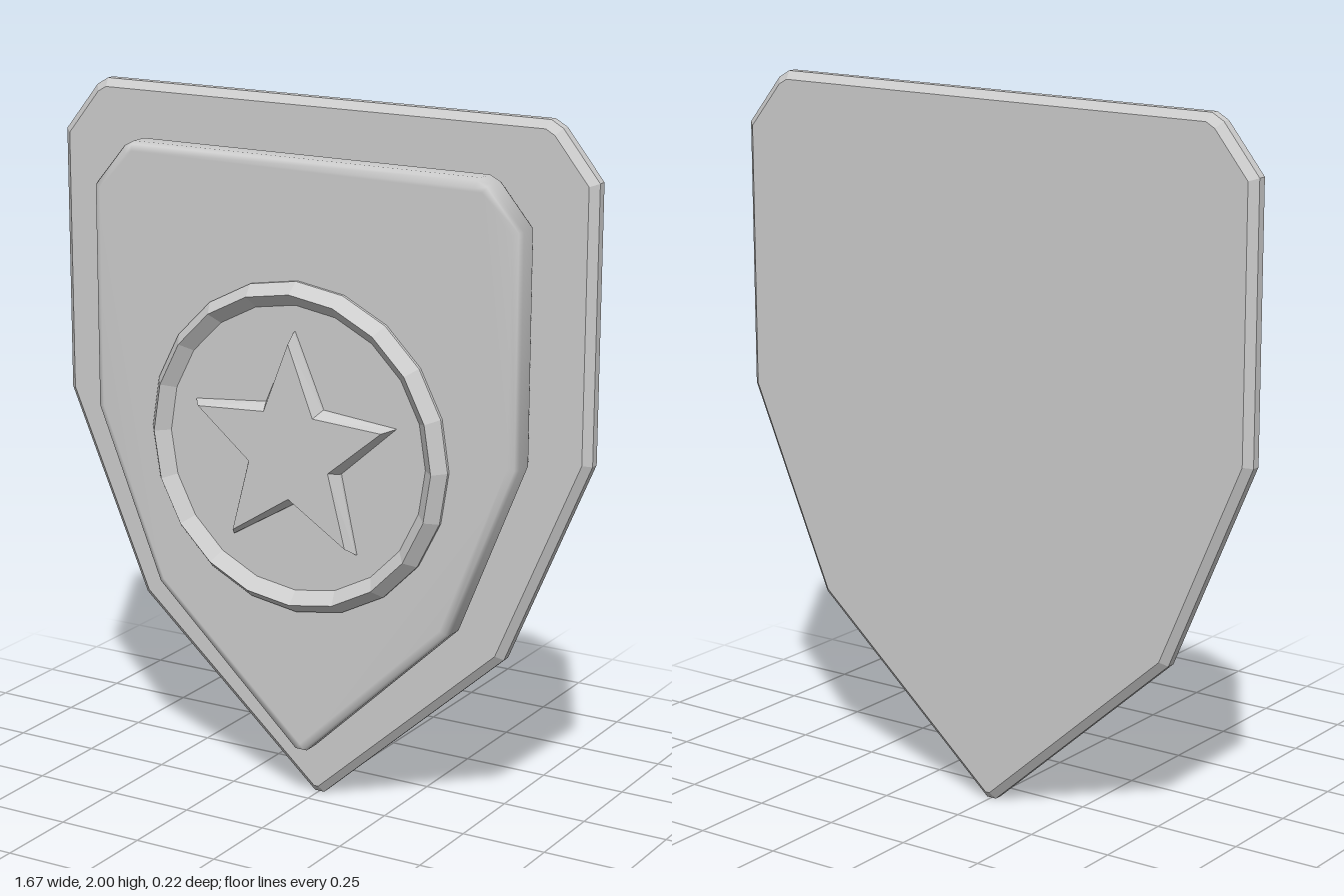
import * as THREE from 'three';

// Mirror a right-hand half outline (bottom to top) into a closed loop
const mirror = (half) => [...half, ...half.map(([x, y]) => [-x, y]).reverse()]
  .map(([x, y]) => new THREE.Vector2(x, y));

// Move every edge of a counter-clockwise loop inward by d, keeping mitred corners
function inset(loop, d) {
  const n = loop.length;
  return loop.map((p, i) => {
    const a = p.clone().sub(loop[(i + n - 1) % n]).normalize();
    const b = loop[(i + 1) % n].clone().sub(p).normalize();
    const m = new THREE.Vector2(-a.y - b.y, a.x + b.x);
    return p.clone().addScaledVector(m, d / (1 + a.dot(b)));
  });
}

// Solid through matching loops, each { loop, z }, from back to front
function loft(sections) {
  const n = sections[0].loop.length, pos = [], idx = [];
  sections.forEach(({ loop, z }) => loop.forEach((p) => pos.push(p.x, p.y, z)));
  for (let s = 0; s < sections.length - 1; s++) {
    for (let i = 0; i < n; i++) {
      const a = s * n + i, b = s * n + (i + 1) % n;
      idx.push(a, b, b + n, a, b + n, a + n);
    }
  }
  const cap = (k, flip) => THREE.ShapeUtils.triangulateShape(sections[k].loop, []).forEach(([a, b, c]) =>
    idx.push(k * n + a, k * n + (flip ? c : b), k * n + (flip ? b : c)));
  cap(0, true);
  cap(sections.length - 1, false);
  const g = new THREE.BufferGeometry();
  g.setAttribute('position', new THREE.Float32BufferAttribute(pos, 3));
  g.setIndex(idx);
  return g;
}

// Split faces apart for crisp facets, or share vertices for a soft look
function finish(g, flat) {
  const out = flat && g.index ? g.toNonIndexed() : g;
  out.computeVertexNormals();
  return out;
}

// Plate with bevelled rims; profile rows are [inset, z]
const plate = (outline, profile, flat) =>
  finish(loft(profile.map(([d, z]) => ({ loop: inset(outline, d), z }))), flat);

function starLoop(outer, inner) {
  return Array.from({ length: 10 }, (_, i) => {
    const r = i % 2 ? inner : outer, t = Math.PI / 2 + i * Math.PI / 5;
    return new THREE.Vector2(r * Math.cos(t), r * Math.sin(t));
  });
}

export function createModel() {
  const group = new THREE.Group();
  group.name = 'shieldBadge';
  const metal = new THREE.MeshStandardMaterial({ color: 0xcccccc });
  metal.name = 'light grey metal';
  const add = (name, geometry, y = 0) => {
    const mesh = new THREE.Mesh(geometry, metal);
    mesh.name = name;
    mesh.position.y = y;
    group.add(mesh);
  };

  // Large back plate with crisp bevels
  const backOutline = mirror([[0.015, 0], [0.583, 0.505], [0.833, 1.09], [0.833, 1.846], [0.725, 1.98], [0.69, 2]]);
  add('backPlate', plate(backOutline, [[0.022, -0.11], [0, -0.09], [0, -0.065], [0.022, -0.045]], true));

  // Smaller raised plate with soft edges
  const frontOutline = mirror([[0.015, 0.16], [0.467, 0.585], [0.667, 1.08], [0.667, 1.72], [0.57, 1.835], [0.54, 1.85]]);
  add('raisedPlate', plate(frontOutline, [[0.025, -0.04], [0.007, -0.033], [0, -0.018], [0, 0.033], [0.007, 0.048], [0.025, 0.055]], false));

  // Round medallion: ridged rim around a recessed floor
  const rim = [[0, 0.05], [0.47, 0.05], [0.47, 0.064], [0.44, 0.103], [0.405, 0.068], [0, 0.068]]
    .map(([r, z]) => new THREE.Vector2(r, z));
  add('medallion', finish(new THREE.LatheGeometry(rim, 20).rotateX(Math.PI / 2), true), 1.05);

  // Star with sloping sides
  add('star', finish(loft([
    { loop: starLoop(0.335, 0.155), z: 0.06 },
    { loop: starLoop(0.332, 0.153), z: 0.075 },
    { loop: starLoop(0.305, 0.132), z: 0.108 },
  ]), true), 1.05);

  return group;
}
